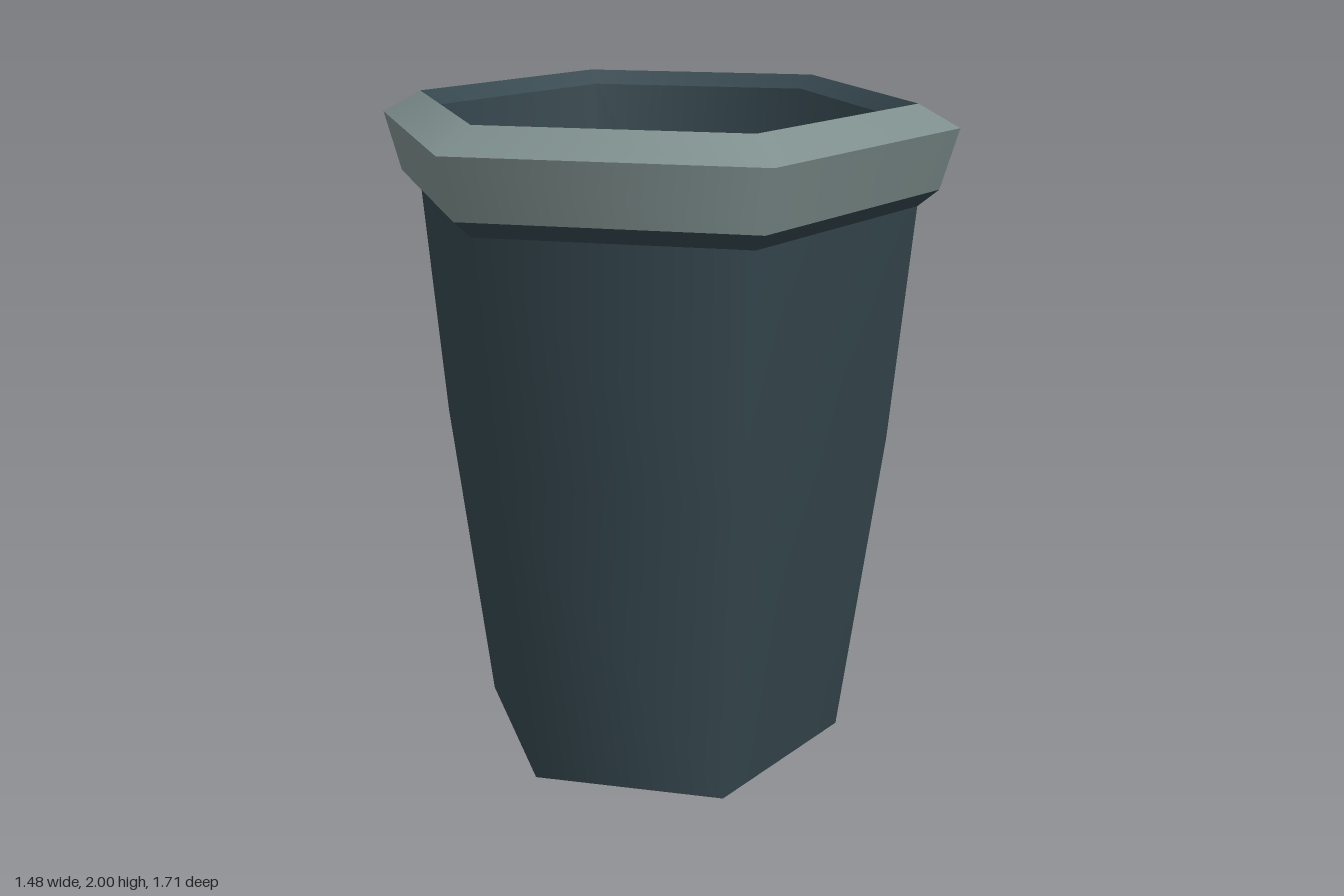
import * as THREE from 'three';

// Hexagonal planter: every band is a six-sided lathe, smooth around, creased between bands
const SIDES = 6;
const FLOOR_Y = 0.85;

export function createModel() {
  const group = new THREE.Group();
  group.name = 'planter';

  // The walls are open shells, so the slate shows from both sides
  const slate = new THREE.MeshStandardMaterial({ color: 0x35474e, side: THREE.DoubleSide });
  slate.name = 'dark slate';
  const stone = new THREE.MeshStandardMaterial({ color: 0x7e8f8d });
  stone.name = 'grey stone';

  // profile: [corner radius, height], going up the outside and down the inside
  function band(name, material, profile) {
    const points = profile.map(([r, y]) => new THREE.Vector2(r, y));
    const mesh = new THREE.Mesh(new THREE.LatheGeometry(points, SIDES), material);
    mesh.name = name;
    group.add(mesh);
  }

  // Outside
  band('outerWall', slate, [[0.58, 0], [0.695, 1], [0.748, 1.71]]);
  band('rimUnderside', slate, [[0.748, 1.71], [0.807, 1.76]]);
  band('rimSide', stone, [[0.807, 1.76], [0.855, 1.935]]);
  band('rimTop', stone, [[0.855, 1.935], [0.735, 2]]);

  // Inside
  band('innerLip', slate, [[0.735, 2], [0.678, 1.96]]);
  band('innerWall', slate, [[0.678, 1.96], [0.57, FLOOR_Y]]);

  // Raised floor, hollow underneath
  const floorGeometry = new THREE.CircleGeometry(0.57, SIDES, Math.PI / 2);
  floorGeometry.rotateX(-Math.PI / 2);
  const floor = new THREE.Mesh(floorGeometry, slate);
  floor.name = 'floor';
  floor.position.y = FLOOR_Y;
  group.add(floor);

  return group;
}
